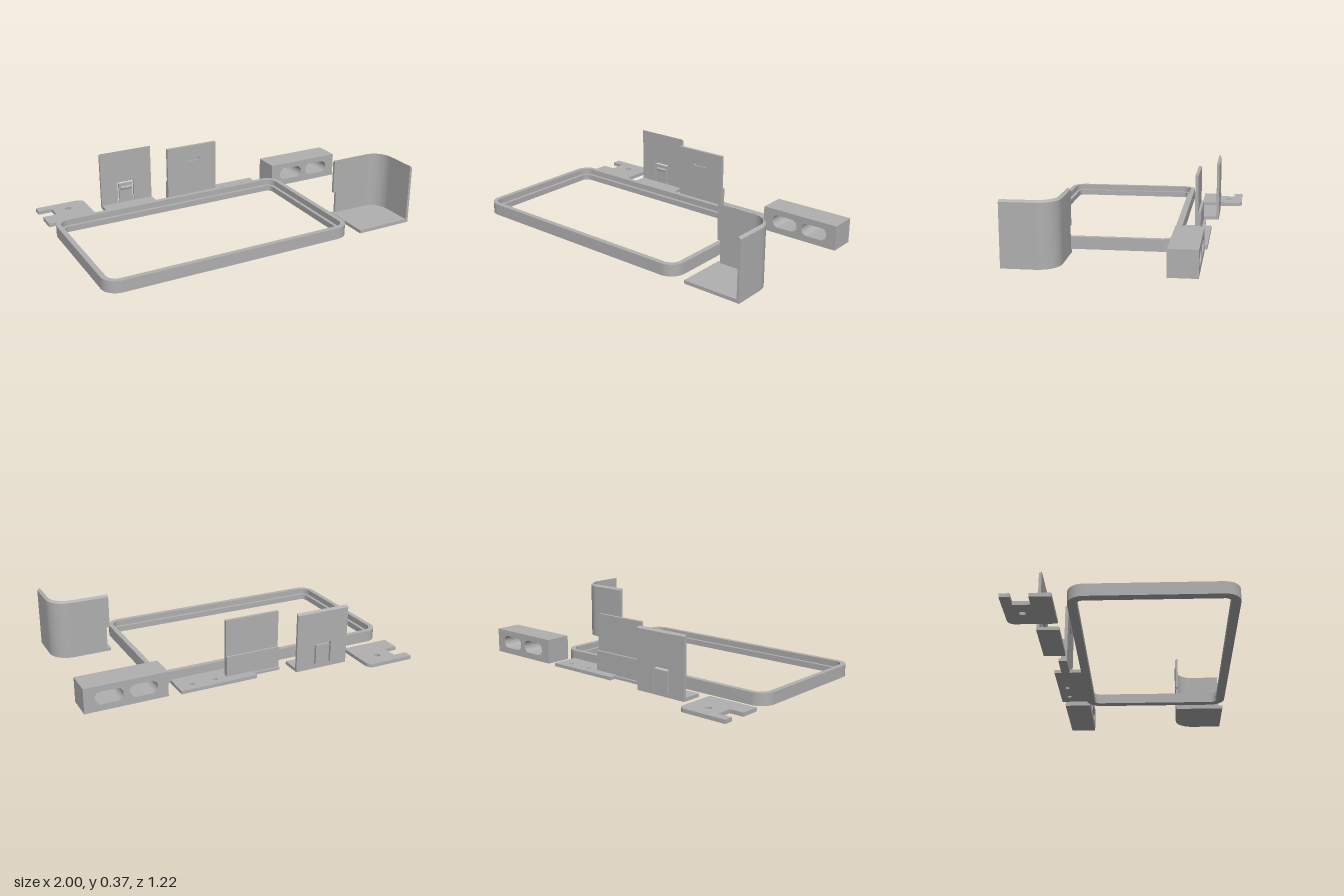
import * as THREE from 'three';
import { toCreasedNormals } from 'three/addons/utils/BufferGeometryUtils.js';

const grey = new THREE.MeshStandardMaterial({ color: 0xb0b0b0 });
grey.name = 'plain grey';

// Rounded rectangle between two corners, as a Shape or as a Path for a hole
function roundRect(x0, y0, x1, y1, r, Type = THREE.Shape) {
  const p = new Type();
  const h = Math.PI / 2;
  p.moveTo(x0 + r, y0);
  p.lineTo(x1 - r, y0).absarc(x1 - r, y0 + r, r, -h, 0);
  p.lineTo(x1, y1 - r).absarc(x1 - r, y1 - r, r, 0, h);
  p.lineTo(x0 + r, y1).absarc(x0 + r, y1 - r, r, h, 2 * h);
  p.lineTo(x0, y0 + r).absarc(x0 + r, y0 + r, r, 2 * h, 3 * h);
  return p;
}
const polygon = (pts, Type = THREE.Shape) => new Type(pts.map(([x, y]) => new THREE.Vector2(x, y)));
const circle = (x, y, r) => new THREE.Path().absarc(x, y, r, 0, Math.PI * 2);

function extrude(shape, depth, holes = []) {
  shape.holes.push(...holes);
  return new THREE.ExtrudeGeometry(shape, { depth, bevelEnabled: false, curveSegments: 10 });
}
// Plate lying flat: shape drawn in x and z, from y0 up to y1
function flat(shape, y0, y1, holes) {
  return extrude(shape, y1 - y0, holes).rotateX(Math.PI / 2).translate(0, y1, 0);
}
// Plate standing up: shape drawn in x and y, from z0 forward to z1
function upright(shape, z0, z1, holes) {
  return extrude(shape, z1 - z0, holes).translate(0, 0, z0);
}
function box(x0, x1, y0, y1, z0, z1) {
  return new THREE.BoxGeometry(x1 - x0, y1 - y0, z1 - z0)
    .translate((x0 + x1) / 2, (y0 + y1) / 2, (z0 + z1) / 2);
}
// Sweep a four-point section [outward offset, y] along a path of [x, z, normalX, normalZ]
function sweep(path, section) {
  const pos = [], idx = [], n = section.length, last = (path.length - 1) * n;
  for (const [x, z, nx, nz] of path)
    for (const [o, y] of section) pos.push(x + o * nx, y, z + o * nz);
  for (let k = 0; k < path.length - 1; k++)
    for (let i = 0; i < n; i++) {
      const a = k * n + i, b = k * n + (i + 1) % n;
      idx.push(a, b, b + n, a, b + n, a + n);
    }
  idx.push(0, 2, 1, 0, 3, 2, last, last + 1, last + 2, last, last + 2, last + 3);
  const g = new THREE.BufferGeometry();
  g.setAttribute('position', new THREE.Float32BufferAttribute(pos, 3));
  g.setIndex(idx);
  return g;
}

export function createModel() {
  const model = new THREE.Group();
  const part = (name, geometry) => {
    const mesh = new THREE.Mesh(toCreasedNormals(geometry, 0.5), grey);
    mesh.name = name;
    model.add(mesh);
  };

  // Large rounded frame with a lower inner ledge
  const frame = (inset, r, Type) =>
    roundRect(-1 + inset, -0.275 + inset, 0.525 - inset, 0.61 - inset, r, Type);
  part('frameRim', flat(frame(0, 0.09), 0, 0.07, [frame(0.03, 0.06, THREE.Path)]));
  part('frameLedge', flat(frame(0.03, 0.06), 0, 0.035, [frame(0.05, 0.035, THREE.Path)]));

  // Flat plate with a side notch, one rounded corner and a screw hole
  const notched = new THREE.Shape();
  notched.moveTo(-1, -0.61).lineTo(-0.735, -0.61);
  notched.absarc(-0.735, -0.57, 0.04, -Math.PI / 2, 0);
  for (const [x, z] of [[-0.695, -0.345], [-1, -0.345], [-1, -0.46], [-0.915, -0.46],
    [-0.915, -0.555], [-1, -0.555]]) notched.lineTo(x, z);
  part('notchedPlate', flat(notched, 0, 0.022, [circle(-0.82, -0.515, 0.019)]));

  // Upright clip plate: foot, wall with a slot around a springy tongue, sloped top edge, catch
  part('clipFoot', box(-0.62, -0.28, 0, 0.02, -0.47, -0.345));
  const slot = polygon([[-0.51, 0.025], [-0.5, 0.025], [-0.5, 0.145], [-0.41, 0.145],
    [-0.41, 0.025], [-0.4, 0.025], [-0.4, 0.157], [-0.51, 0.157]], THREE.Path);
  part('clipWall', upright(polygon([[-0.62, 0.02], [-0.28, 0.02], [-0.28, 0.353], [-0.62, 0.353]]),
    -0.47, -0.454, [slot]));
  part('clipTopEdge', sweep([[-0.62, -0.47, 0, -1], [-0.28, -0.47, 0, -1]],
    [[-0.016, 0.353], [0, 0.353], [0, 0.354], [-0.016, 0.365]]));
  part('clipCatch', new THREE.CylinderGeometry(0.011, 0.011, 0.075, 16)
    .rotateZ(Math.PI / 2).translate(-0.453, 0.117, -0.453));

  // Stepped plate: slotted upper wall, thicker lower back and a low foot
  part('slottedWall', upright(polygon([[-0.21, 0], [0.13, 0], [0.13, 0.36], [-0.21, 0.36]]),
    -0.355, -0.344, [roundRect(-0.09, 0.258, 0.01, 0.281, 0.009, THREE.Path)]));
  part('slottedWallBack', box(-0.21, 0.13, 0, 0.36, -0.363, -0.355));
  part('lowerStep', box(-0.21, 0.13, 0, 0.14, -0.379, -0.363));
  part('stepFoot', box(-0.21, 0.13, 0, 0.015, -0.394, -0.379));

  // Low mounting plate with screw holes
  part('mountingPlate', flat(polygon([[-0.035, -0.436], [0.44, -0.436], [0.44, -0.272], [-0.035, -0.272]]),
    0, 0.02, [0.205, 0.35].map((x) => circle(x, -0.38, 0.014))));

  // Block with two rounded through-openings
  part('block', upright(polygon([[0.512, 0], [1, 0], [1, 0.15], [0.512, 0.15]]), -0.423, -0.262,
    [0.575, 0.775].map((x) => roundRect(x, 0.038, x + 0.165, 0.114, 0.036, THREE.Path))));

  // Corner shell: floor, curved wall with a sloped top edge, notch at its free end
  const R = 0.12, cx = 0.95 - R, cz = 0.305 + R;
  const floor = new THREE.Shape();
  floor.moveTo(0.595, 0.305).lineTo(cx, 0.305);
  floor.absarc(cx, cz, R, -Math.PI / 2, 0);
  floor.lineTo(0.95, 0.61).lineTo(0.595, 0.61);
  part('cornerFloor', flat(floor, 0, 0.02));
  const path = [[0.615, 0.305, 0, -1]];
  for (let i = 0; i <= 16; i++) {
    const a = (i / 16 - 1) * Math.PI / 2, c = Math.cos(a), s = Math.sin(a);
    path.push([cx + R * c, cz + R * s, c, s]);
  }
  path.push([0.95, 0.61, 1, 0]);
  const section = (y) => [[-0.016, y], [0, y], [0, 0.353], [-0.016, 0.365]];
  part('cornerWall', sweep(path, section(0.02)));
  part('cornerWallEnd', sweep([[0.595, 0.305, 0, -1], path[0]], section(0.155)));

  return model;
}
